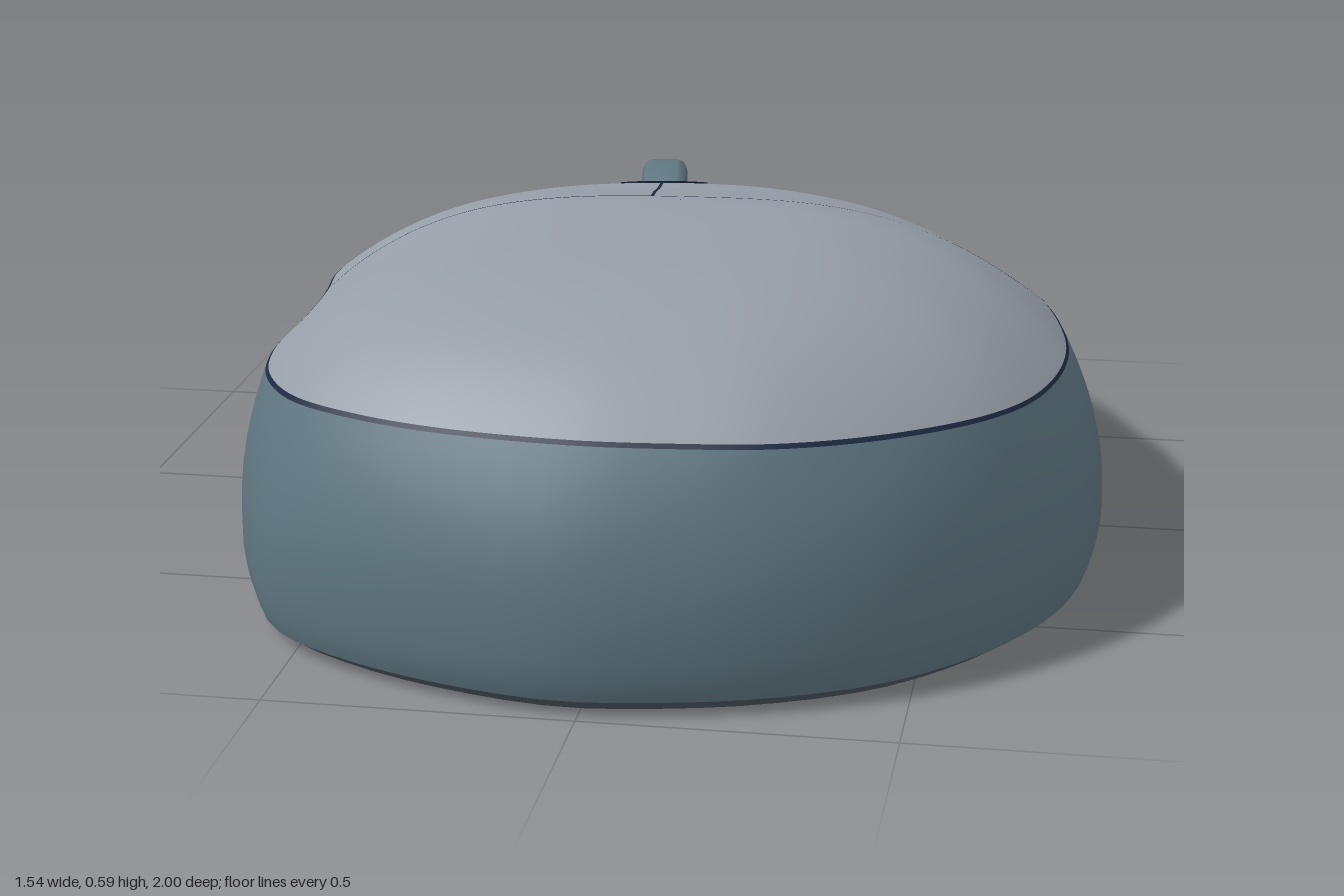
import * as THREE from 'three';

const SEG = 288;

// Plan outlines as x,z pairs: widest girth, and rim of the top shell
const GIRTH = [-.05, -1, .16, -.97, .33, -.9, .46, -.79, .56, -.66, .645, -.49, .705, -.28, .745, -.05, .767, .16, .745, .41,
  .685, .58, .59, .725, .46, .85, .295, .935, .16, .975, -.035, 1, -.235, .96, -.405, .89, -.54, .795, -.62, .65,
  -.68, .475, -.704, .24, -.735, -.03, -.77, -.4, -.74, -.6, -.66, -.76, -.53, -.875, -.37, -.96, -.18, -.995];
const RIM = [-.025, -.915, .135, -.89, .285, -.815, .41, -.71, .515, -.555, .6, -.355, .635, -.28, .675, -.1, .7, .13, .685, .36,
  .64, .53, .56, .66, .425, .785, .285, .86, .13, .89, -.025, .9, -.235, .87, -.38, .815, -.51, .725, -.595, .585,
  -.64, .41, -.66, .13, -.68, -.08, -.705, -.24, -.705, -.4, -.675, -.535, -.605, -.66, -.49, -.78, -.34, -.86, -.18, -.905];

const TAU = Math.PI * 2;
const toPoints = a => Array.from({ length: a.length / 2 }, (_, i) => new THREE.Vector3(a[2 * i], 0, a[2 * i + 1]));

// Turn an outline into a radius-by-angle function
function polar(flat) {
  const pts = new THREE.CatmullRomCurve3(toPoints(flat), true, 'centripetal').getPoints(360);
  const table = pts.slice(0, -1).map(p => [(Math.atan2(p.z, p.x) + TAU) % TAU, Math.hypot(p.x, p.z)]).sort((a, b) => a[0] - b[0]);
  const first = table[0], last = table[table.length - 1];
  table.unshift([last[0] - TAU, last[1]]);
  table.push([first[0] + TAU, first[1]]);
  return angle => {
    const t = ((angle % TAU) + TAU) % TAU;
    let i = 1;
    while (i < table.length - 1 && table[i][0] < t) i++;
    const [a, ra] = table[i - 1], [b, rb] = table[i];
    return ra + (rb - ra) * (t - a) / (b - a || 1);
  };
}
const girth = polar(GIRTH), rim = polar(RIM);

// Sloping seam and domed top surface
const seamY = z => .35 + .069 * z;
function topY(x, z) {
  const u = Math.min(1, Math.hypot(x, z) / rim(Math.atan2(z, x)));
  const height = .189 + .033 * THREE.MathUtils.smoothstep(z, -.35, .05);
  const power = 3 + 1.6 * THREE.MathUtils.smoothstep(z, .2, .8);
  return seamY(z) + height * (1 - u ** power);
}

// Scroll wheel recess: a slanted slot with clipped corners
const WELL = { x: -.14, z: -.665, tilt: Math.atan(.15), half: .152 };
const wellWidth = l => .085 - .055 * Math.max(0, 1 - (WELL.half - Math.abs(l)) / .04);
function insideWell(x, z) {
  const dx = x - WELL.x, dz = z - WELL.z, s = Math.sin(WELL.tilt), c = Math.cos(WELL.tilt);
  const along = dx * s + dz * c, side = dx * c - dz * s;
  return Math.min(wellWidth(along) - Math.abs(side), WELL.half - Math.abs(along));
}

// Triangulate a grid of rows; optionally closed around each row
function gridGeometry(rows, closed) {
  const n = rows[0].length, pos = [], idx = [];
  rows.forEach(row => row.forEach(p => pos.push(...p)));
  for (let i = 0; i < rows.length - 1; i++) {
    for (let j = 0; j < (closed ? n : n - 1); j++) {
      const k = (j + 1) % n;
      const a = i * n + j, b = i * n + k, c = (i + 1) * n + k, d = (i + 1) * n + j;
      idx.push(a, d, b, b, d, c);
    }
  }
  const g = new THREE.BufferGeometry();
  g.setAttribute('position', new THREE.Float32BufferAttribute(pos, 3));
  g.setIndex(idx);
  g.computeVertexNormals();
  return g;
}
const ring = (f, n = 96) => Array.from({ length: n }, (_, j) => f(j / n * TAU));
const at = (t, r, y) => [r * Math.cos(t), y, r * Math.sin(t)];

// Strip following the top surface along a path, with half width and lift rules
function ribbon(points, halfWidth, lift, across) {
  const rows = points.map((p, i) => {
    const a = points[Math.max(0, i - 1)], b = points[Math.min(points.length - 1, i + 1)];
    const len = Math.hypot(b.x - a.x, b.z - a.z), nx = (b.z - a.z) / len, nz = -(b.x - a.x) / len;
    const w = halfWidth(i / (points.length - 1));
    return Array.from({ length: across + 1 }, (_, j) => {
      const s = w * (2 * j / across - 1), x = p.x + nx * s, z = p.z + nz * s;
      return [x, topY(x, z) + lift(x, z), z];
    });
  });
  return gridGeometry(rows, false);
}

export function createModel() {
  const group = new THREE.Group();
  const material = (name, color, extra = {}) => {
    const m = new THREE.MeshStandardMaterial({ color, ...extra });
    m.name = name;
    return m;
  };
  const slate = material('slate', 0x5f7681);
  const grey = material('grey', 0x969ea8);
  const charcoal = material('charcoal', 0x4d5861);
  const navy = material('navy', 0x1d2940, { side: THREE.DoubleSide });
  const add = (name, geometry, mat) => {
    const mesh = new THREE.Mesh(geometry, mat);
    mesh.name = name;
    group.add(mesh);
    return mesh;
  };

  // Flat underside with a thin chamfered lip
  const lipY = t => .02 + .005 * Math.sin(t);
  const flat = s => ring(t => at(t, (girth(t) - .05) * s, 0));
  add('underside', gridGeometry([flat(.001), flat(.5), flat(1)], true), charcoal);
  add('lowerLip', gridGeometry([flat(1), ring(t => at(t, girth(t) - .015, lipY(t)))], true), charcoal);

  // Rounded side wall from lip to seam
  const wall = [0, .04, .09, .18, .3, .42, .54, .66, .76, .85, .93, 1].map(s => ring(t => {
    const g = girth(t), r = rim(t), bulge = Math.max(0, (s - .3) / .7) ** 2;
    const inset = .015 * Math.max(0, 1 - s / .2) ** 2;
    const low = lipY(t), high = seamY(r * Math.sin(t));
    return at(t, g + (r - g) * bulge - inset, low + (high - low) * s);
  }));
  add('sideWall', gridGeometry(wall, true), slate);

  // Thin dark seam, and domed top shell pressed down under the wheel recess
  const domeRing = u => ring(t => {
    const r = rim(t) * u, x = r * Math.cos(t), z = r * Math.sin(t);
    return [x, topY(x, z) - (insideWell(x, z) > .006 ? .09 : 0), z];
  }, SEG);
  const START = .993, RINGS = 72;
  add('seam', gridGeometry([domeRing(1), domeRing(START)], true), navy);
  const dome = Array.from({ length: RINGS + 1 }, (_, k) => domeRing(START * Math.max(.001, Math.cos(k / RINGS * Math.PI / 2))));
  add('topShell', gridGeometry(dome, true), grey);

  // Groove between palm rest and buttons
  const split = new THREE.CatmullRomCurve3(toPoints([-.68, -.08, -.62, -.09, -.57, -.078, -.43, -.035, -.25, -.003, -.05, -.025,
    .16, -.07, .32, -.14, .5, -.26, .56, -.288, .636, -.28]));
  add('buttonGroove', ribbon(split.getPoints(80), () => .003, () => .002, 2), navy);

  // Groove between the two buttons, in front of and behind the wheel
  const line = (x0, z0, x1, z1, n) => Array.from({ length: n + 1 }, (_, i) =>
    new THREE.Vector3(x0 + (x1 - x0) * i / n, 0, z0 + (z1 - z0) * i / n));
  add('frontGroove', ribbon(line(-.18, -.9, -.163, -.81, 8), () => .004, () => .002, 2), navy);
  add('centreGroove', ribbon(line(-.117, -.52, -.055, -.025, 30), () => .003, () => .002, 2), navy);

  // Recess with a narrow raised border and a sunken floor
  const ex = WELL.half * Math.sin(WELL.tilt), ez = WELL.half * Math.cos(WELL.tilt);
  const wellPath = line(WELL.x - ex, WELL.z - ez, WELL.x + ex, WELL.z + ez, 60);
  const wellLift = (x, z) => insideWell(x, z) > .016 ? -.045 : .004;
  add('wheelRecess', ribbon(wellPath, s => wellWidth(WELL.half * (2 * s - 1)), wellLift, 30), navy);

  // Scroll wheel with rounded edges
  const profile = [[.001, -.044], [.112, -.044], [.126, -.037], [.131, -.024], [.131, .024], [.126, .037], [.112, .044], [.001, .044]]
    .map(([r, y]) => new THREE.Vector2(r, y));
  const wheelGeometry = new THREE.LatheGeometry(profile, 28);
  wheelGeometry.rotateZ(Math.PI / 2);
  const wheel = add('scrollWheel', wheelGeometry, slate);
  wheel.position.set(-.14, .345, -.66);
  wheel.rotation.y = WELL.tilt;

  return group;
}
